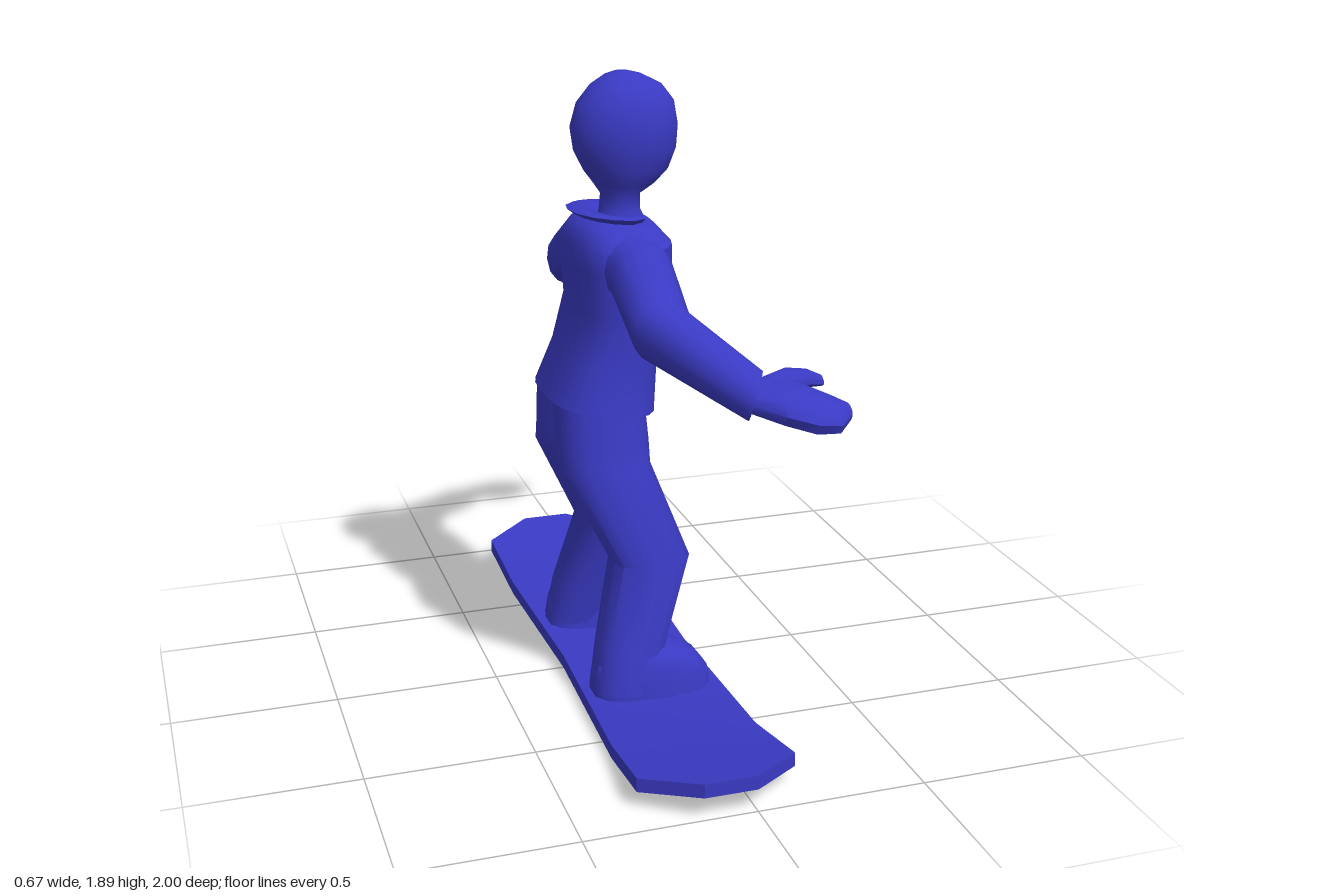
import * as THREE from 'three';
import { toCreasedNormals } from 'three/addons/utils/BufferGeometryUtils.js';

const material = new THREE.MeshStandardMaterial({ color: 0x3a3ac4 });

// Skin a closed solid over sections [centre, u, v]; u x v points along the path.
// power < 1 makes the outline boxier; side = -1 mirrors the part across z.
function loft(name, sections, { sides = 14, power = 1, start = 0, side = 1, crease = 0.8 } = {}) {
  const pos = [], idx = [];
  const bend = (t) => Math.sign(t) * Math.pow(Math.abs(t), power);
  for (const [c, u, v] of sections) {
    for (let j = 0; j < sides; j++) {
      const a = start + (j / sides) * Math.PI * 2;
      const p = bend(Math.cos(a)), q = bend(Math.sin(a));
      const [x, y, z] = c.map((k, i) => k + p * u[i] + q * v[i]);
      pos.push(x, y, z * side);
    }
  }
  const tri = (a, b, c) => (side > 0 ? idx.push(a, b, c) : idx.push(a, c, b));
  const n = sections.length, last = (n - 1) * sides;
  for (let i = 0; i < n - 1; i++) {
    for (let j = 0; j < sides; j++) {
      const k = (j + 1) % sides, r = i * sides;
      tri(r + j, r + k, r + sides + j);
      tri(r + k, r + sides + k, r + sides + j);
    }
  }
  for (let j = 1; j < sides - 1; j++) {
    tri(0, j + 1, j);
    tri(last, last + j, last + j + 1);
  }
  const geometry = new THREE.BufferGeometry();
  geometry.setAttribute('position', new THREE.Float32BufferAttribute(pos, 3));
  geometry.setIndex(idx);
  const mesh = new THREE.Mesh(toCreasedNormals(geometry, crease), material);
  mesh.name = name;
  return mesh;
}

// Horizontal section from its back and front x, centre z, half width and forward drop
const level = (y, back, front, z, half, drop = 0) => [
  [(back + front) / 2, y, z], [0, 0, half], [(front - back) / 2, -drop, 0],
];

// Hand section across x, tilted so that the outer edge hangs lower
const across = (x, y, z, thick, wide) => [
  [x, y, z], [0, 0.9 * thick, 0.44 * thick], [0, -0.44 * wide, 0.9 * wide],
];

function createBoard() {
  const rows = [ // z, centre y, half width
    [-1, 0.09, 0.078], [-0.88, 0.07, 0.233], [-0.6, 0.022, 0.222], [0, 0.022, 0.203],
    [0.6, 0.022, 0.222], [0.88, 0.07, 0.233], [1, 0.09, 0.078],
  ];
  const s = Math.SQRT2;
  return loft('snowboard', rows.map(([z, y, w]) => [[-0.078, y, z], [w * s, 0, 0], [0, 0.021 * s, 0]]),
    { sides: 4, start: Math.PI / 4, crease: 0.3 });
}

function createCollar() {
  const sections = [];
  for (let i = 0; i <= 10; i++) {
    const a = THREE.MathUtils.degToRad(55 + i * 25);
    const c = Math.cos(a), s = Math.sin(a);
    const half = i === 0 || i === 10 ? 0.03 : 0.048;
    sections.push([[-0.11 + 0.09 * c, 1.467 - 0.012 * c, 0.108 * s],
      [half * c, 0.01, half * s], [0, 0.014, 0]]);
  }
  return loft('collar', sections, { sides: 6 });
}

export function createModel() {
  const model = new THREE.Group();
  model.name = 'snowboarder';
  model.add(createBoard(), createCollar());

  // Jacket body
  model.add(loft('jacket', [
    level(0.91, -0.335, -0.01, 0, 0.245, 0.02),
    level(1.05, -0.28, 0.0, 0, 0.222, 0.01),
    level(1.2, -0.24, 0.025, 0, 0.23),
    level(1.33, -0.25, 0.045, 0, 0.24),
    level(1.4, -0.245, 0.045, 0, 0.235),
    level(1.45, -0.215, 0.0, 0, 0.17),
    level(1.465, -0.17, -0.03, 0, 0.07),
  ], { sides: 20, power: 0.72 }));

  // Neck and head
  model.add(loft('head', [
    level(1.43, -0.17, 0.0, 0, 0.075),
    level(1.48, -0.15, -0.025, 0, 0.057),
    level(1.53, -0.145, -0.025, 0, 0.06),
    level(1.56, -0.165, 0.02, 0, 0.082),
    level(1.6, -0.195, 0.062, 0, 0.1),
    level(1.66, -0.225, 0.085, 0, 0.119),
    level(1.73, -0.235, 0.09, 0, 0.125),
    level(1.8, -0.215, 0.078, 0, 0.113),
    level(1.85, -0.175, 0.04, 0, 0.085),
    level(1.88, -0.13, -0.02, 0, 0.045),
    level(1.89, -0.1, -0.06, 0, 0.015),
  ], { sides: 18, crease: 1.2 }));

  for (const side of [1, -1]) {
    const label = side > 0 ? 'left' : 'right';

    // Trouser leg, bent at the knee
    model.add(loft(label + 'Leg', [
      level(0.06, -0.265, -0.05, 0.27, 0.1),
      level(0.2, -0.24, -0.025, 0.25, 0.1),
      level(0.44, -0.18, 0.065, 0.193, 0.107),
      level(0.73, -0.32, -0.04, 0.126, 0.122),
      level(0.8, -0.32, -0.04, 0.108, 0.127),
      level(0.94, -0.32, -0.05, 0.09, 0.13),
    ], { side, power: 0.8 }));

    // Boot
    model.add(loft(label + 'Boot', [
      level(0.035, -0.265, 0.11, 0.267, 0.105),
      level(0.1, -0.26, 0.1, 0.267, 0.1),
      level(0.14, -0.25, 0.07, 0.267, 0.092),
      level(0.17, -0.22, 0.025, 0.265, 0.085),
      level(0.19, -0.19, -0.03, 0.265, 0.065),
    ], { side, power: 0.75 }));

    // Sleeve: shoulder, elbow, cuff
    model.add(loft(label + 'Sleeve', [
      [[-0.1, 1.35, 0.12], [0.1, 0, 0], [0, 0.09, 0]],
      [[-0.1, 1.335, 0.26], [0.095, 0, 0], [0, 0.095, 0.015]],
      [[-0.105, 1.225, 0.47], [0.086, 0, 0], [0, 0.088, 0.02]],
      [[0.08, 1.1, 0.715], [0.04, 0.025, -0.075], [0.01, 0.05, 0.015]],
    ], { side, power: 0.9, crease: 1 }));

    // Mitten and thumb
    model.add(loft(label + 'Hand', [
      across(0.05, 1.1, 0.71, 0.035, 0.05),
      across(0.13, 1.09, 0.745, 0.042, 0.085),
      across(0.21, 1.07, 0.775, 0.045, 0.088),
      across(0.28, 1.052, 0.79, 0.038, 0.064),
      across(0.33, 1.05, 0.775, 0.02, 0.025),
    ], { side, sides: 10, power: 0.85 }));
    model.add(loft(label + 'Thumb', [
      across(0.1, 1.11, 0.7, 0.025, 0.04),
      across(0.19, 1.123, 0.665, 0.027, 0.036),
      across(0.25, 1.12, 0.665, 0.024, 0.028),
      across(0.293, 1.11, 0.667, 0.013, 0.018),
    ], { side, sides: 8 }));
  }
  return model;
}
